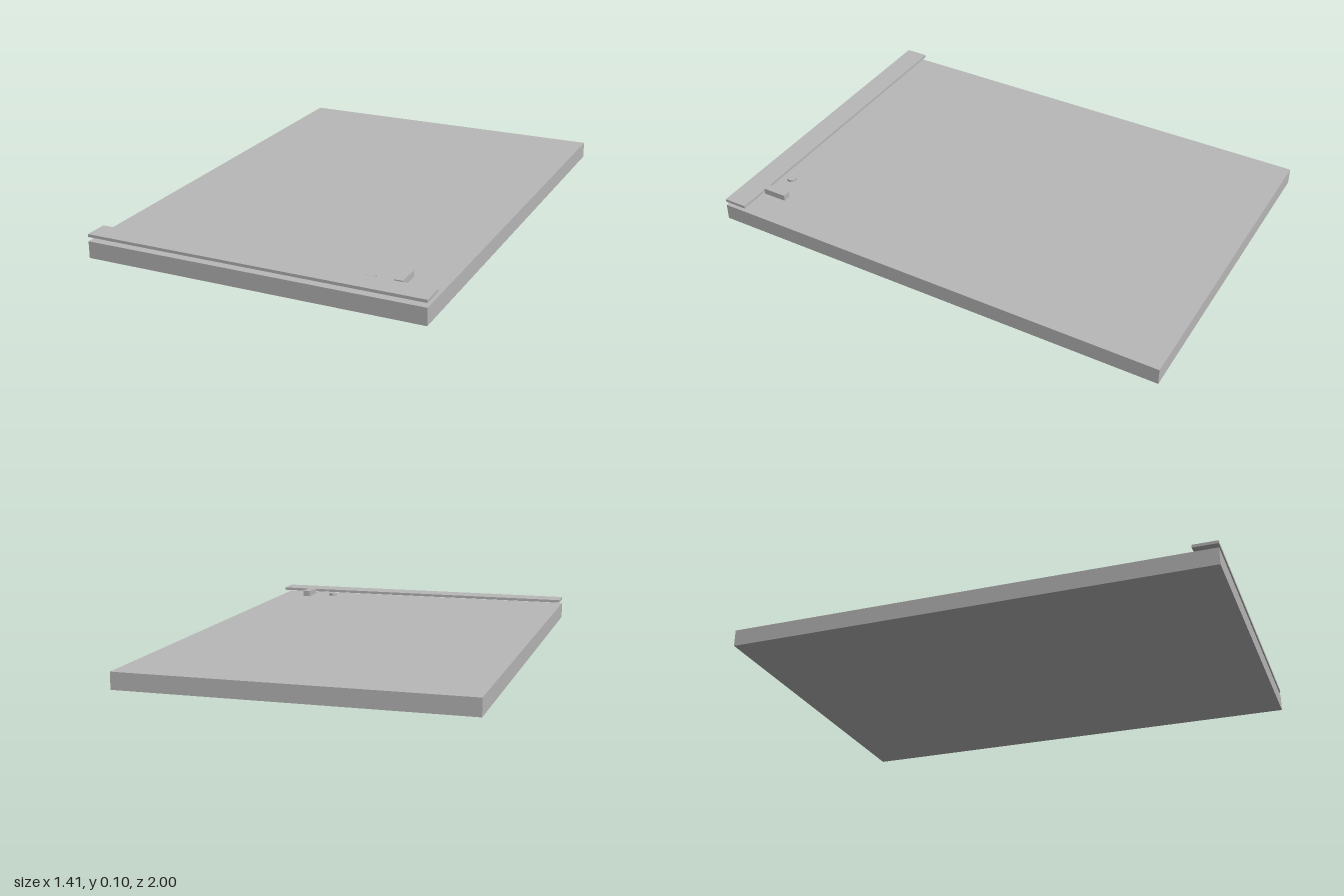
import * as THREE from 'three';

export function createModel() {
  const model = new THREE.Group();
  const grey = new THREE.MeshStandardMaterial({ color: 0xb8b8b8 });
  grey.name = 'plain grey';

  // Adds a named part with its underside at height y
  function add(name, geometry, height, x, y, z) {
    const mesh = new THREE.Mesh(geometry, grey);
    mesh.name = name;
    mesh.position.set(x, y + height / 2, z);
    model.add(mesh);
  }
  function box(name, w, h, d, x, y, z) {
    add(name, new THREE.BoxGeometry(w, h, d), h, x, y, z);
  }

  // Main slab
  box('baseSlab', 1.412, 0.07, 2, 0, 0, 0);

  // Thin strip hovering over the front edge
  box('frontStrip', 1.412, 0.012, 0.1, 0, 0.088, 0.95);

  // Short bar reaching back from the strip
  box('latchBar', 0.034, 0.026, 0.104, 0.554, 0.078, 0.848);

  // Small round disc beside the bar
  add('roundButton', new THREE.CylinderGeometry(0.019, 0.019, 0.011, 32), 0.011, 0.434, 0.078, 0.862);

  return model;
}
